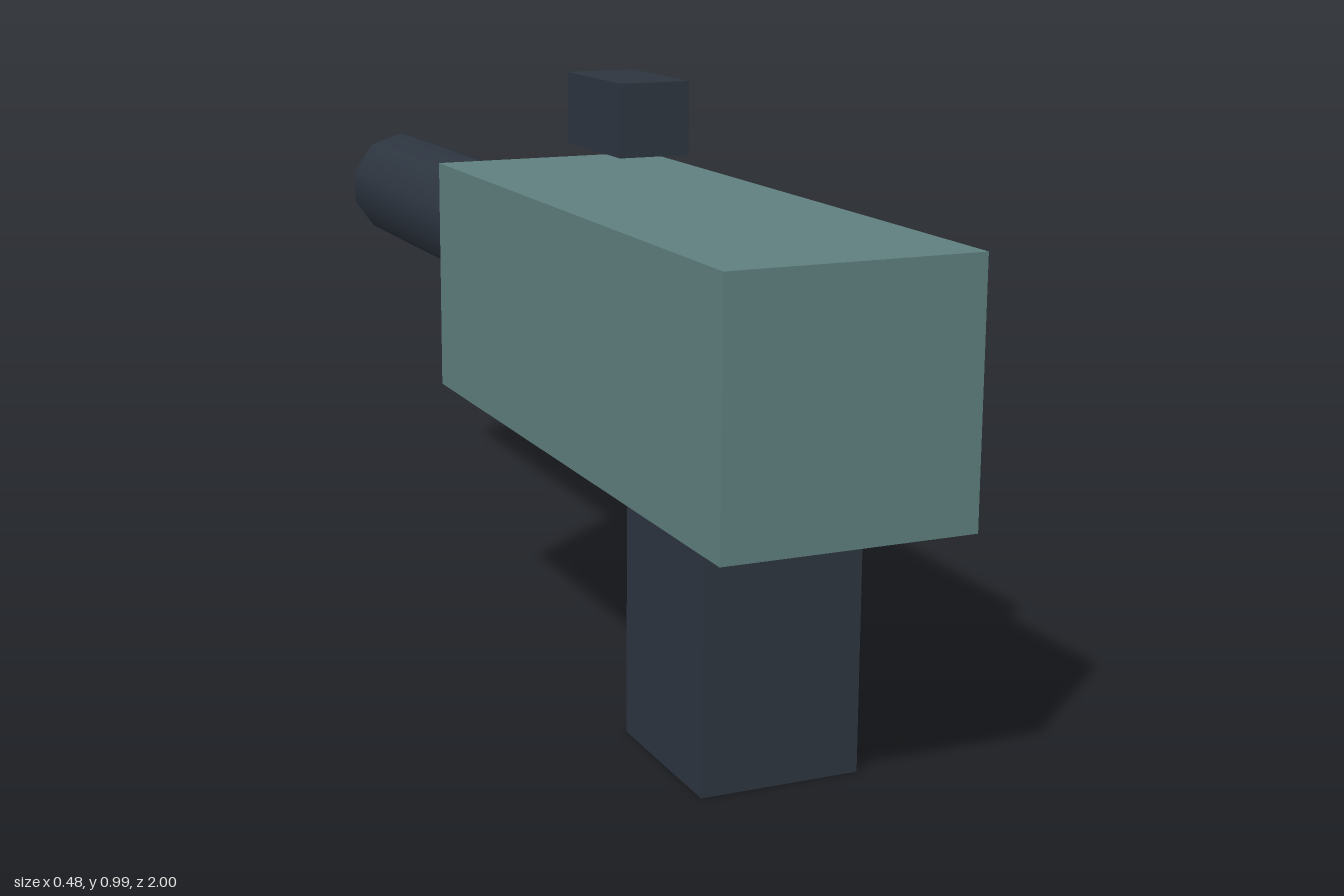
import * as THREE from 'three';

export function createModel() {
  const model = new THREE.Group();
  model.name = 'toyBlaster';

  const material = (name, color) => {
    const m = new THREE.MeshStandardMaterial({ color });
    m.name = name;
    return m;
  };
  const teal = material('teal', 0x5f7f7f);
  const charcoal = material('charcoal', 0x2d3540);
  const mint = material('mint', 0xa5c7c0);

  const add = (name, geometry, mat, x, y, z) => {
    const mesh = new THREE.Mesh(geometry, mat);
    mesh.name = name;
    mesh.position.set(x, y, z);
    model.add(mesh);
  };

  // Box given by its [min, max] extent on each axis
  const box = (name, mat, [x0, x1], [y0, y1], [z0, z1]) =>
    add(name, new THREE.BoxGeometry(x1 - x0, y1 - y0, z1 - z0), mat,
      (x0 + x1) / 2, (y0 + y1) / 2, (z0 + z1) / 2);

  // Main housing and the grip below it
  box('body', teal, [-0.238, 0.158], [0.418, 0.814], [-0.146, 1]);
  box('grip', charcoal, [-0.168, 0.088], [0, 0.418], [0.528, 0.803]);

  // Floating sight above the body
  box('sight', charcoal, [-0.1, 0.018], [0.873, 0.99], [0.118, 0.338]);

  // Raised panel on the left flank
  box('sidePanel', mint, [0.158, 0.237], [0.605, 0.763], [-0.008, 0.663]);

  // Ten-sided smooth barrel running backwards
  const barrel = new THREE.CylinderGeometry(0.108, 0.108, 0.854, 10);
  barrel.rotateX(-Math.PI / 2);
  add('barrel', barrel, charcoal, -0.04, 0.656, -0.573);

  return model;
}
